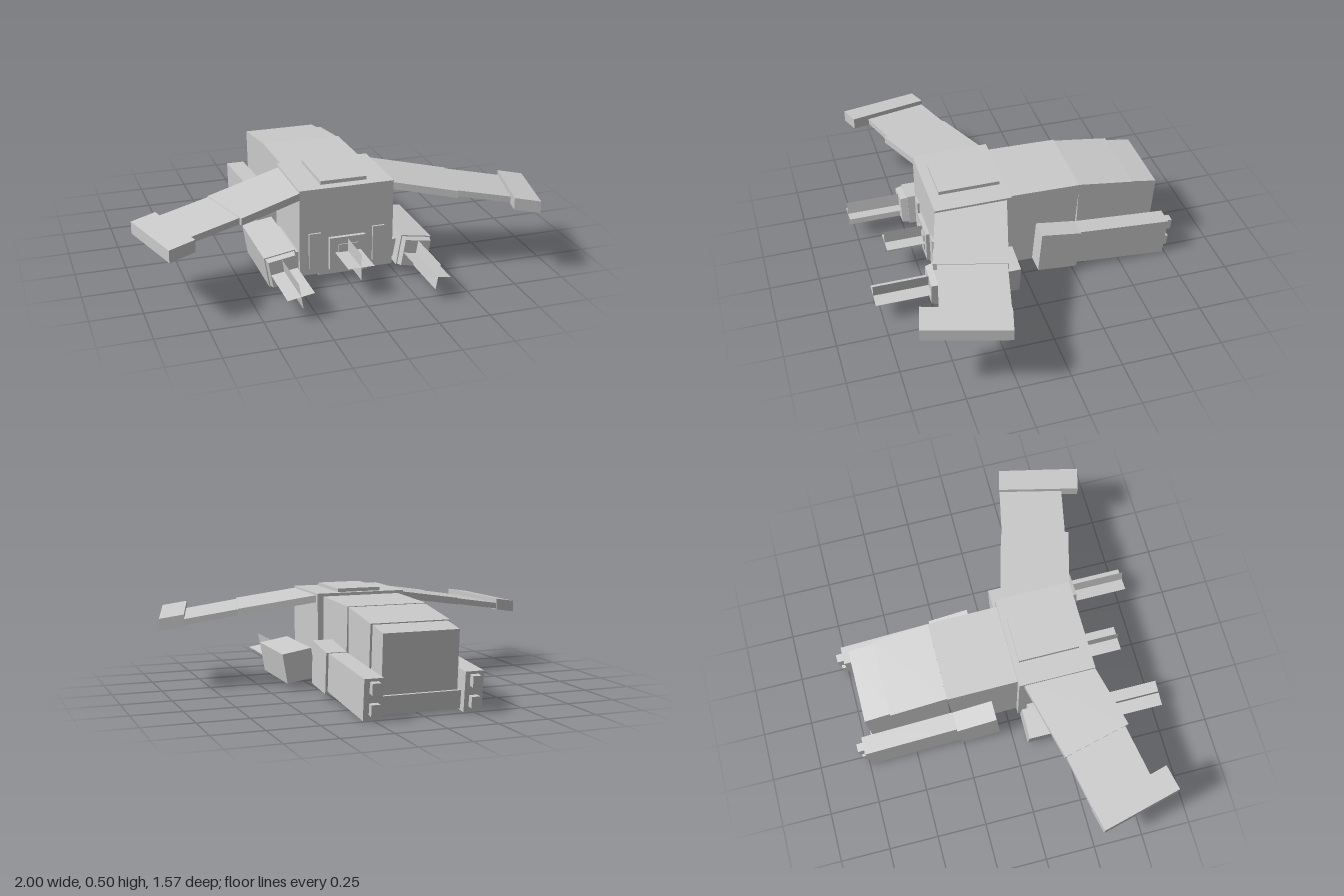
import * as THREE from 'three';
import { ConvexGeometry } from 'three/addons/geometries/ConvexGeometry.js';

const grey = new THREE.MeshStandardMaterial({ color: 0xcccccc, flatShading: true });
const thin = new THREE.MeshStandardMaterial({ color: 0xcccccc, flatShading: true, side: THREE.DoubleSide });

function add(parent, name, geometry, material = grey) {
  const mesh = new THREE.Mesh(geometry, material);
  mesh.name = name;
  parent.add(mesh);
  return mesh;
}

// Box given by its limits on each axis
function box(parent, name, [x0, x1], [y0, y1], [z0, z1]) {
  const mesh = add(parent, name, new THREE.BoxGeometry(x1 - x0, y1 - y0, z1 - z0));
  mesh.position.set((x0 + x1) / 2, (y0 + y1) / 2, (z0 + z1) / 2);
  return mesh;
}

// Six-sided solid: a side outline of [z, y] points, spanning x0 to x1
function sideSolid(parent, name, outline, x0, x1) {
  const points = outline.flatMap(([z, y]) => [x0, x1].map(x => new THREE.Vector3(x, y, z)));
  return add(parent, name, new ConvexGeometry(points));
}

// Drooping slab: a plan outline of [x, z] points, sinking away from the centre
function wingSlab(parent, name, plan, rootTop, thickness, s) {
  const points = plan.flatMap(([x, z]) => {
    const top = rootTop - 0.168 * x;
    return [top, top - thickness].map(y => new THREE.Vector3(s * x, y, z));
  });
  return add(parent, name, new ConvexGeometry(points));
}

// Cross-shaped barrel made of two crossing sheets
function crossBarrel(parent, name, y, z0, z1) {
  const barrel = new THREE.Group();
  barrel.name = name;
  for (const turn of [0, Math.PI / 2]) {
    const fin = add(barrel, 'barrelFin', new THREE.PlaneGeometry(0.13, z1 - z0).rotateX(-Math.PI / 2), thin);
    fin.rotation.z = turn;
  }
  barrel.position.set(0, y, (z0 + z1) / 2);
  parent.add(barrel);
}

export function createModel() {
  const model = new THREE.Group();
  model.name = 'dropship';

  // Front block with roof and belly plates
  box(model, 'frontBlock', [-0.235, 0.235], [0.05, 0.487], [0.055, 0.44]);
  box(model, 'roofPlate', [-0.115, 0.115], [0.48, 0.505], [0.085, 0.39]);
  box(model, 'bellyPlate', [-0.125, 0.125], [0.015, 0.06], [-0.195, 0.39]);

  // Fuselage sections, narrowing towards the tail
  sideSolid(model, 'midBody', [[0.06, 0.055], [0.06, 0.472], [-0.3, 0.464], [-0.27, 0.04], [-0.06, 0.055]], -0.205, 0.205);
  sideSolid(model, 'rearBody', [[-0.29, 0.04], [-0.3, 0.461], [-0.587, 0.42], [-0.555, 0.025]], -0.2, 0.2);
  sideSolid(model, 'tailCap', [[-0.55, 0.1], [-0.58, 0.416], [-0.715, 0.393], [-0.695, 0.1]], -0.19, 0.19);
  sideSolid(model, 'tailSill', [[-0.54, 0.026], [-0.55, 0.12], [-0.71, 0.105], [-0.7, 0.016]], -0.21, 0.21);

  // Front face: nose mount, side panels and nose barrel
  box(model, 'noseMount', [-0.09, 0.09], [0.07, 0.235], [0.43, 0.46]);
  box(model, 'noseSocket', [-0.05, 0.05], [0.11, 0.2], [0.45, 0.465]);
  crossBarrel(model, 'noseBarrel', 0.16, 0.46, 0.655);

  for (const s of [1, -1]) {
    const side = new THREE.Group();
    side.name = s > 0 ? 'leftSide' : 'rightSide';
    model.add(side);

    box(side, 'frontPanel', s > 0 ? [0.13, 0.19] : [-0.19, -0.13], [0.085, 0.265], [0.43, 0.45]);

    // Swept, drooping wing with a broad tip
    wingSlab(side, 'innerWing', [[0.2, 0.43], [0.535, 0.525], [0.615, 0.185], [0.2, 0.072]], 0.516, 0.036, s);
    wingSlab(side, 'outerWing', [[0.53, 0.505], [0.81, 0.565], [0.89, 0.25], [0.6, 0.187]], 0.513, 0.031, s);
    wingSlab(side, 'wingTip', [[0.775, 0.645], [0.9, 0.677], [1.0, 0.275], [0.88, 0.245]], 0.537, 0.06, s);

    // Engine, pitched down towards the tail
    sideSolid(side, 'engineIntake', [[-0.078, 0.273], [-0.282, 0.242], [-0.262, 0.036], [-0.06, 0.055]], s * 0.195, s * 0.308);
    sideSolid(side, 'engine', [[-0.27, 0.24], [-0.757, 0.2], [-0.737, 0.005], [-0.25, 0.05]], s * 0.203, s * 0.296);
    for (const [y, z] of [[0.158, -0.762], [0.058, -0.748]]) {
      const nozzle = add(side, 'exhaust', new THREE.BoxGeometry(0.042, 0.055, 0.05));
      nozzle.position.set(s * 0.248, y, z);
      nozzle.rotation.x = -0.1;
    }

    // Gun pod, rolled outward, with a chamfered muzzle
    const pod = new THREE.Group();
    pod.name = 'gunPod';
    pod.position.set(s * 0.332, 0.122, 0);
    pod.rotation.z = -s * 0.165;
    side.add(pod);
    box(pod, 'podBody', [-0.077, 0.077], [-0.077, 0.077], [0.065, 0.475]);
    const corners = [[0.46, 0.074], [0.51, 0.066]].flatMap(([z, r]) =>
      [[-r, -r], [r, -r], [r, r], [-r, r]].map(([x, y]) => new THREE.Vector3(x, y, z)));
    add(pod, 'podMuzzle', new ConvexGeometry(corners));
    crossBarrel(pod, 'podBarrel', 0, 0.51, 0.783);
    box(side, 'podMount', s > 0 ? [0.22, 0.28] : [-0.28, -0.22], [0.08, 0.17], [0.1, 0.42]);
  }

  return model;
}
